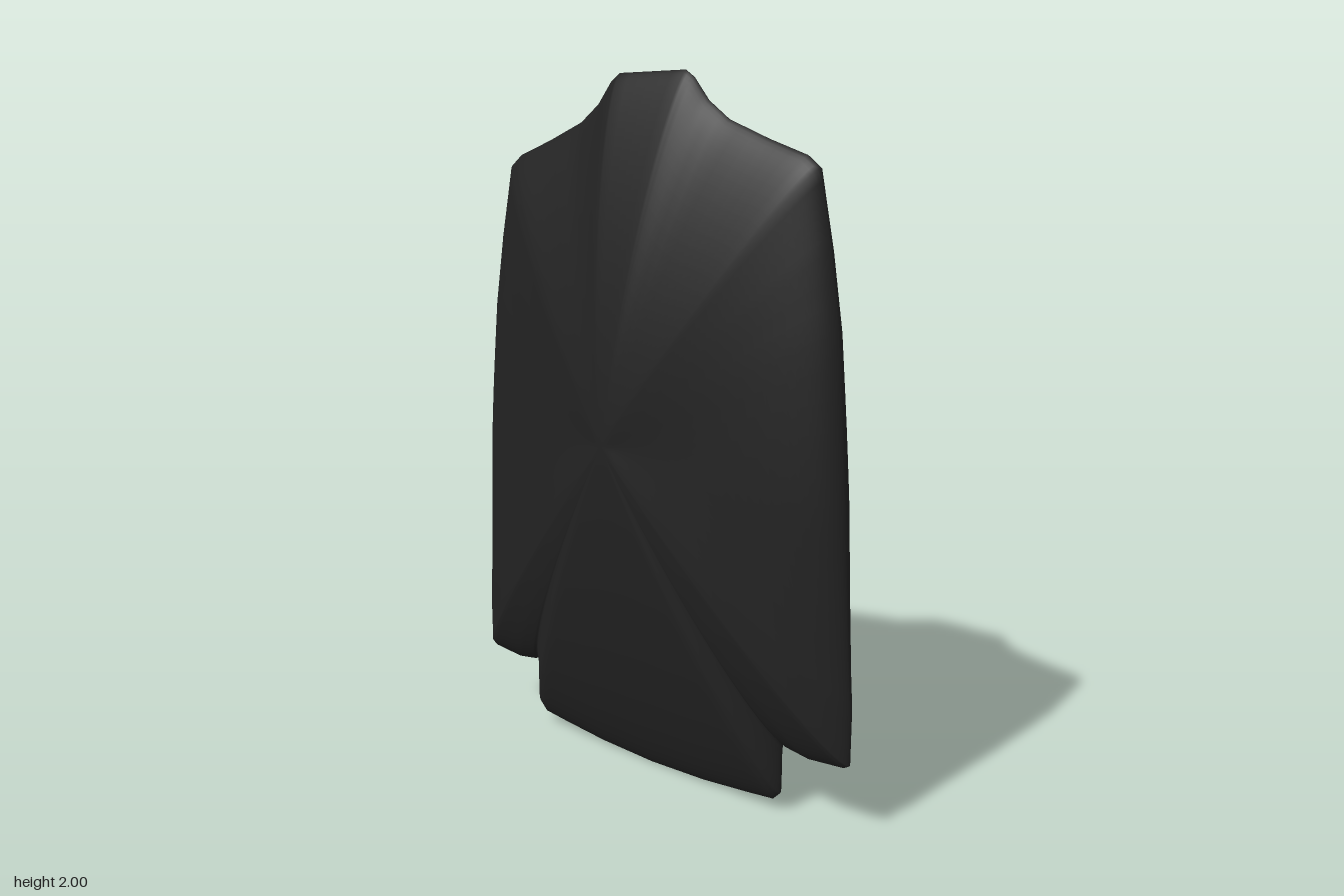
import * as THREE from 'three';

// Right half of the jacket outline, collar to hem (x, y)
const HALF = [
  [0, 2], [0.12, 2], [0.15, 1.98], [0.2, 1.92], [0.27, 1.87], [0.4, 1.82], [0.52, 1.78],
  [0.56, 1.75], [0.58, 1.65], [0.6, 1.55], [0.63, 1.35], [0.65, 1.1], [0.665, 0.9],
  [0.675, 0.7], [0.69, 0.45], [0.697, 0.36], [0.697, 0.21], [0.68, 0.2], [0.57, 0.19],
  [0.5, 0.2], [0.48, 0.21], [0.475, 0.17], [0.475, 0.06], [0.45, 0.035], [0.36, 0.025],
  [0.2, 0.01], [0, 0.003],
];
const CENTRE_Y = 1, DEPTH = 0.21, RINGS = 48, SPLIT = 3;

// Closed, mirrored and subdivided outline
function outline() {
  const loop = [...HALF, ...HALF.slice(1, -1).reverse().map(([x, y]) => [-x, y])];
  return loop.flatMap(([x, y], i) => {
    const [nx, ny] = loop[(i + 1) % loop.length];
    return Array.from({ length: SPLIT }, (_, k) => [x + (nx - x) * k / SPLIT, y + (ny - y) * k / SPLIT]);
  });
}

// Half thickness at fraction t of the way to the edge: ridged sideways, rounder vertically
function thickness(t, x, y) {
  const v = y * y / (x * x + y * y);
  return DEPTH * Math.pow(Math.max(0, 1 - Math.pow(t, 1 + 0.6 * v)), 0.5 + 0.25 * v);
}

// Rings grow from the front centre to the rim, then shrink to the back centre
function pillowGeometry() {
  const rim = outline(), n = rim.length;
  const positions = [0, CENTRE_Y, DEPTH], index = [];
  for (let i = 1; i < RINGS; i++) {
    const a = Math.PI * i / RINGS;
    const t = i * 2 === RINGS ? 1 : Math.sin(a);
    for (const [x, py] of rim) {
      const y = py - CENTRE_Y;
      positions.push(x * t, CENTRE_Y + y * t, Math.sign(Math.cos(a)) * thickness(t, x, y));
    }
  }
  const last = positions.length / 3;
  positions.push(0, CENTRE_Y, -DEPTH);
  const at = (i, j) => i === 0 ? 0 : i === RINGS ? last : 1 + (i - 1) * n + j % n;
  for (let i = 0; i < RINGS; i++) {
    for (let j = 0; j < n; j++) {
      const a = at(i, j), b = at(i, j + 1), c = at(i + 1, j), d = at(i + 1, j + 1);
      if (i < RINGS - 1) index.push(a, d, c);
      if (i > 0) index.push(a, b, d);
    }
  }
  const geometry = new THREE.BufferGeometry();
  geometry.setAttribute('position', new THREE.Float32BufferAttribute(positions, 3));
  geometry.setIndex(index);
  geometry.computeVertexNormals();
  return geometry;
}

export function createModel() {
  const group = new THREE.Group();
  group.name = 'jacket';
  const cloth = new THREE.MeshStandardMaterial({ color: 0x222222 });
  cloth.name = 'blackCloth';
  // Body and sleeves as one inflated shell
  const shell = new THREE.Mesh(pillowGeometry(), cloth);
  shell.name = 'jacketShell';
  group.add(shell);
  return group;
}
